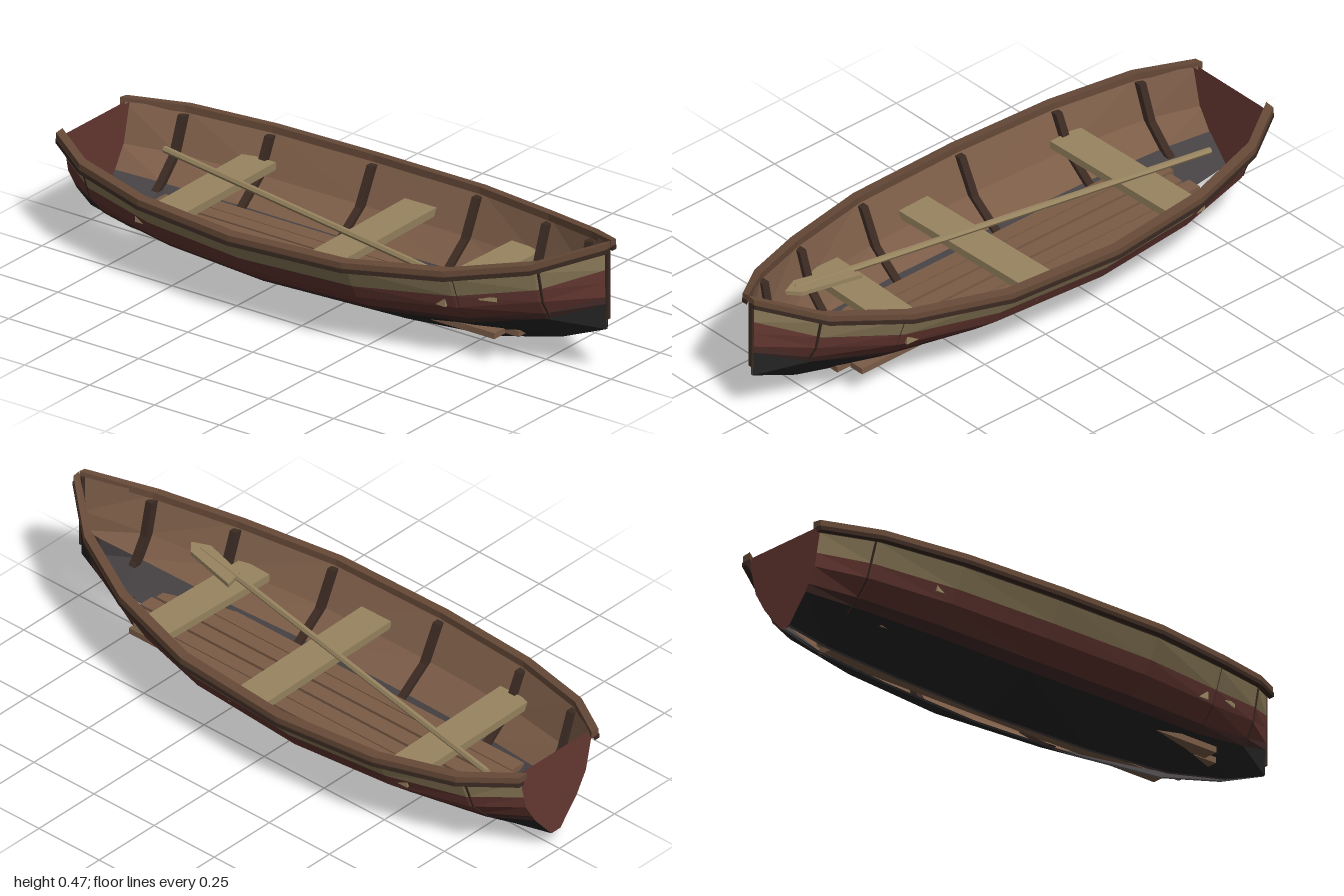
import * as THREE from 'three';

const mat = (name, color) => {
  const m = new THREE.MeshStandardMaterial({ color, side: THREE.DoubleSide, flatShading: true });
  m.name = name;
  return m;
};

// Hull stations: x, sheer height, bottom height, half width at sheer, half width at bottom
const STATIONS = [
  [-0.985, 0.345, 0.06, 0.165, 0.02],
  [-0.83, 0.325, 0.03, 0.272, 0.027],
  [-0.55, 0.305, 0.012, 0.345, 0.033],
  [-0.18, 0.295, 0.0, 0.376, 0.037],
  [0.24, 0.308, 0.012, 0.355, 0.034],
  [0.57, 0.337, 0.04, 0.27, 0.028],
  [0.82, 0.385, 0.1, 0.158, 0.016],
  [0.985, 0.452, 0.165, 0.012, 0.003],
];
// Section curve: height fraction to width fraction
const SECTION = [[0, 0], [0.3, 0.51], [0.55, 0.8], [1, 1]];

function widthAt(t) {
  for (let i = 1; i < SECTION.length; i++) {
    const [t0, w0] = SECTION[i - 1], [t1, w1] = SECTION[i];
    if (t <= t1) return w0 + (w1 - w0) * (t - t0) / (t1 - t0);
  }
  return 1;
}

// Point on the hull side at a station and height fraction, moved inward by inset
function hullPoint([x, top, bottom, zTop, zBottom], t, side, inset = 0) {
  const z = zBottom + (zTop - zBottom) * widthAt(t);
  return new THREE.Vector3(x, bottom + (top - bottom) * t, side * Math.max(z - inset, 0.001));
}

// Skin between successive rows of points
function loft(rows, flip = false) {
  const n = rows[0].length, index = [];
  for (let i = 0; i < rows.length - 1; i++)
    for (let j = 0; j < n - 1; j++) {
      const a = i * n + j, b = a + 1, c = a + n, d = c + 1;
      if (flip) index.push(a, b, c, b, d, c);
      else index.push(a, c, b, b, c, d);
    }
  const g = new THREE.BufferGeometry().setFromPoints(rows.flat());
  g.setIndex(index);
  g.computeVertexNormals();
  return g;
}

// Bar from four-cornered rings, closed at both ends
function bar(rings, flip) {
  const cap = (r) => {
    const c = r.reduce((s, p) => s.add(p), new THREE.Vector3()).multiplyScalar(1 / r.length);
    return [...r, r[0]].map(() => c.clone());
  };
  return loft([cap(rings[0]), ...rings.map((r) => [...r, r[0]]), cap(rings[rings.length - 1])], flip);
}

export function createModel() {
  const group = new THREE.Group();
  const black = mat('tar black', 0x262525);
  const blend = mat('faded dark red', 0x452c29);
  const red = mat('hull red', 0x663832);
  const cream = mat('weathered cream', 0x8c7b59);
  const seatWood = mat('seat wood', 0x988460);
  const wood = mat('inner wood', 0x7b5c47);
  const bilge = mat('bilge grey', 0x454042);
  const railWood = mat('rail wood', 0x674a38);
  const dark = mat('dark timber', 0x3b2a22);

  const add = (name, geometry, material) => {
    const m = new THREE.Mesh(geometry, material);
    m.name = name;
    group.add(m);
    return m;
  };
  const v = (x, y, z) => new THREE.Vector3(x, y, z);

  // Painted planking: name, height fractions, colour, inset
  const bands = [
    ['lowerHull', [0, 0.3], black, 0],
    ['waterline', [0.3, 0.38], blend, 0],
    ['redHull', [0.38, 0.55, 0.7], red, 0],
    ['creamStripe', [0.7, 0.92], cream, 0],
    ['rubStrake', [0.92, 1], dark, 0],
    ['bilgeLining', [0, 0.3], bilge, 0.012],
    ['innerLining', [0.3, 0.55, 1], wood, 0.012],
  ];
  for (const side of [1, -1]) {
    for (const [name, levels, material, inset] of bands) {
      const rows = levels.map((t) => STATIONS.map((s) => hullPoint(s, t, side, inset)));
      add(name, loft(rows, (side > 0) === (inset === 0)), material);
    }

    // Gunwale along the sheer, with a darker guard below
    const rail = (inner, outer, low, high) => bar(STATIONS.map(([x, top, , z]) => {
      const px = x + (Math.abs(x) > 0.9 ? Math.sign(x) * 0.014 : 0);
      const zi = side * Math.max(z + inner, 0.001), zo = side * (z + outer);
      return [v(px, top + low, zi), v(px, top + low, zo), v(px, top + high - 0.004, zo), v(px, top + high, zi)];
    }), side > 0);
    add('gunwale', rail(-0.018, 0.014, -0.01, 0.014), railWood);
    add('guardRail', rail(-0.004, 0.017, -0.024, -0.006), dark);

    // Ribs following the inside of the planking
    for (const s of STATIONS.slice(1, -1)) {
      const rings = [0.25, 0.3, 0.55, 0.95].map((t) => {
        const o = hullPoint(s, t, side, 0.005), i = hullPoint(s, t, side, 0.034);
        return [[-1, o], [1, o], [1, i], [-1, i]].map(([d, p]) => v(p.x + d * 0.013, p.y, p.z));
      });
      add('rib', bar(rings, side < 0), dark);
    }
  }

  // Transom closing the stern, shaped from the same section
  const levels = [0, 0.3, 0.55, 1];
  for (const [dx, material, name] of [[0, red, 'transom'], [0.012, red, 'transomInner']]) {
    const rows = levels.map((t) => [1, -1].map((side) => {
      const p = hullPoint(STATIONS[0], t, side);
      p.x += dx;
      return p;
    }));
    add(name, loft(rows, dx === 0), material);
  }

  // Stem post at the bow
  add('stemPost', new THREE.BoxGeometry(0.012, 0.25, 0.014), dark).position.set(0.986, 0.325, 0);

  // Bench seats: centre x, height, half length
  for (const [x, y, half, turn] of [[-0.56, 0.21, 0.285, 0.02], [0.04, 0.21, 0.31, 0.02], [0.49, 0.217, 0.238, -0.03]]) {
    const seat = add('seat', new THREE.BoxGeometry(0.12, 0.026, half * 2), seatWood);
    seat.position.set(x, y, 0);
    seat.rotation.y = turn;
  }

  // Floor boards: centre z, width, ends
  for (const [z, w, x0, x1] of [[0, 0.052, -0.76, 0.72], [0.061, 0.05, -0.78, 0.71], [0.117, 0.054, -0.72, 0.66]])
    for (const side of z ? [1, -1] : [1])
      add('floorBoard', new THREE.BoxGeometry(x1 - x0, 0.02, w), wood)
        .position.set((x0 + x1) / 2, 0.104, side * z);

  // Oar lying across the seats
  const oar = new THREE.Group();
  oar.name = 'oar';
  const shaft = new THREE.Mesh(new THREE.CylinderGeometry(0.011, 0.011, 1.48, 6), seatWood);
  shaft.name = 'oarShaft';
  shaft.rotation.z = Math.PI / 2;
  const outline = new THREE.Shape([[0.56, -0.015], [0.53, 0.05], [0.74, 0.04], [0.79, 0], [0.74, -0.03]]
    .map(([x, y]) => new THREE.Vector2(x, y)));
  const blade = new THREE.Mesh(new THREE.ExtrudeGeometry(outline, { depth: 0.014, bevelEnabled: false }), seatWood);
  blade.name = 'oarBlade';
  blade.rotation.x = -Math.PI / 2;
  blade.position.y = -0.007;
  oar.add(shaft, blade);
  oar.position.set(-0.075, 0.25, 0.032);
  oar.rotation.y = -0.194;
  group.add(oar);

  return group;
}
